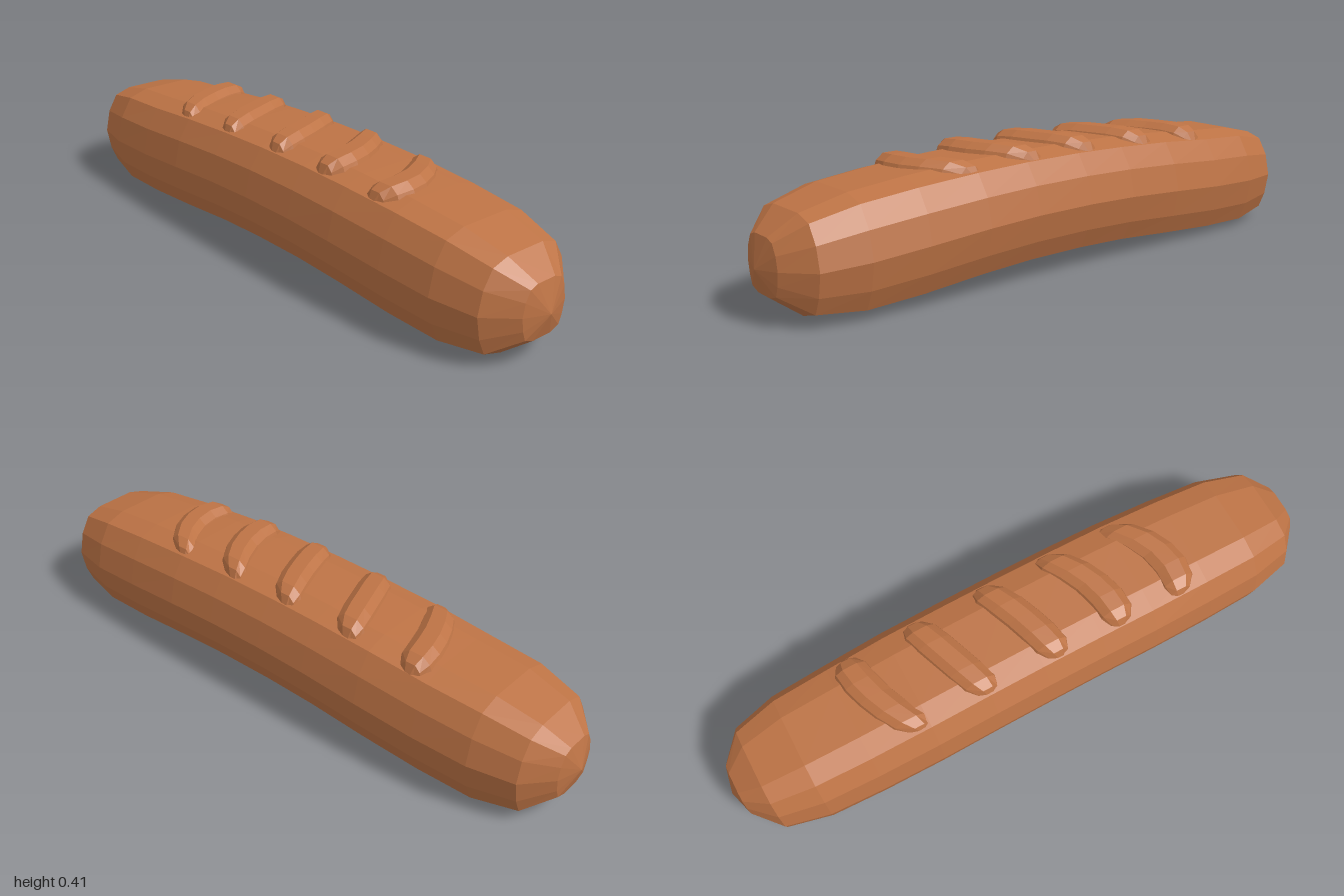
import * as THREE from 'three';

const crust = new THREE.MeshStandardMaterial({ color: 0xbd7345 });
crust.name = 'bakedCrust';

// Faceted skin over a row of cross-sections (arrays of [x, y, z])
function loft(rings, closed) {
  const n = rings[0].length;
  const index = [];
  for (let i = 0; i < rings.length - 1; i++) {
    for (let j = 0; j < (closed ? n : n - 1); j++) {
      const k = (j + 1) % n;
      const a = i * n + j, b = i * n + k, c = a + n, d = b + n;
      index.push(a, b, c, b, d, c);
    }
  }
  const geo = new THREE.BufferGeometry();
  geo.setAttribute('position', new THREE.Float32BufferAttribute(rings.flat(2), 3));
  geo.setIndex(index);
  const flat = geo.toNonIndexed();
  flat.computeVertexNormals();
  return flat;
}

function makeLoaf() {
  // Half of the rounded-square section, top to bottom: [width, height]
  const half = [[0.4, 1], [0.72, 0.88], [0.91, 0.5], [1, 0], [0.92, -0.5], [0.79, -0.86], [0.4, -1]];
  const section = [...half, ...half.map(([w, h]) => [-w, h]).reverse()];
  // Stations along the loaf: [x, bottom, top, half width]
  const stations = [
    [-1, 0.165, 0.165, 0], [-0.975, 0.085, 0.25, 0.085], [-0.9, 0.027, 0.31, 0.172],
    [-0.76, 0.006, 0.343, 0.207], [-0.58, 0.012, 0.355, 0.217], [-0.38, 0.027, 0.372, 0.223],
    [-0.18, 0.043, 0.382, 0.223], [0, 0.05, 0.387, 0.223], [0.2, 0.05, 0.387, 0.223],
    [0.38, 0.042, 0.382, 0.223], [0.58, 0.025, 0.37, 0.217], [0.76, 0.017, 0.352, 0.207],
    [0.9, 0.032, 0.315, 0.172], [0.975, 0.088, 0.255, 0.085], [1, 0.165, 0.165, 0],
  ];
  const rings = stations.map(([x, low, high, width]) =>
    section.map(([w, h]) => [x, (low + high) / 2 + h * (high - low) / 2, w * width]));
  return new THREE.Mesh(loft(rings, true), crust);
}

// One raised, slanted ridge lying across the top of the loaf
function makeRidge(x, top, back, front) {
  const profile = [[1, 0], [0.82, 0.6], [0.4, 1], [-0.4, 1], [-0.82, 0.6], [-1, 0]];
  // Steps from back to front: [z, half width, drop of the crown]
  const steps = [
    [-0.158, 0.022, 0.05], [-0.145, 0.04, 0.021], [-0.115, 0.058, 0.005], [-0.06, 0.062, 0],
    [0, 0.062, 0], [0.06, 0.062, 0], [0.115, 0.058, 0.005], [0.145, 0.04, 0.021], [0.158, 0.022, 0.05],
  ];
  const rings = steps.map(([z, width, drop]) => {
    const t = z / 0.14;
    const mid = x + (front - back) / 2 * t + (front + back) / 2 * t * t;
    return profile.map(([w, h]) => [mid + w * width, top - drop - (1 - h) * 0.045, z]);
  });
  return new THREE.Mesh(loft(rings, false), crust);
}

export function createModel() {
  const model = new THREE.Group();
  model.name = 'breadLoaf';

  const loaf = makeLoaf();
  loaf.name = 'loaf';
  model.add(loaf);

  // Ridges: [x, crown height, x shift at the back, x shift at the front]
  const ridges = [
    [-0.485, 0.388, -0.03, 0.07], [-0.235, 0.404, -0.05, 0.05], [0.015, 0.414, -0.06, 0.04],
    [0.255, 0.414, -0.08, 0.02], [0.49, 0.4, -0.09, 0],
  ];
  ridges.forEach((r, i) => {
    const ridge = makeRidge(...r);
    ridge.name = `crustRidge${i + 1}`;
    model.add(ridge);
  });
  return model;
}
